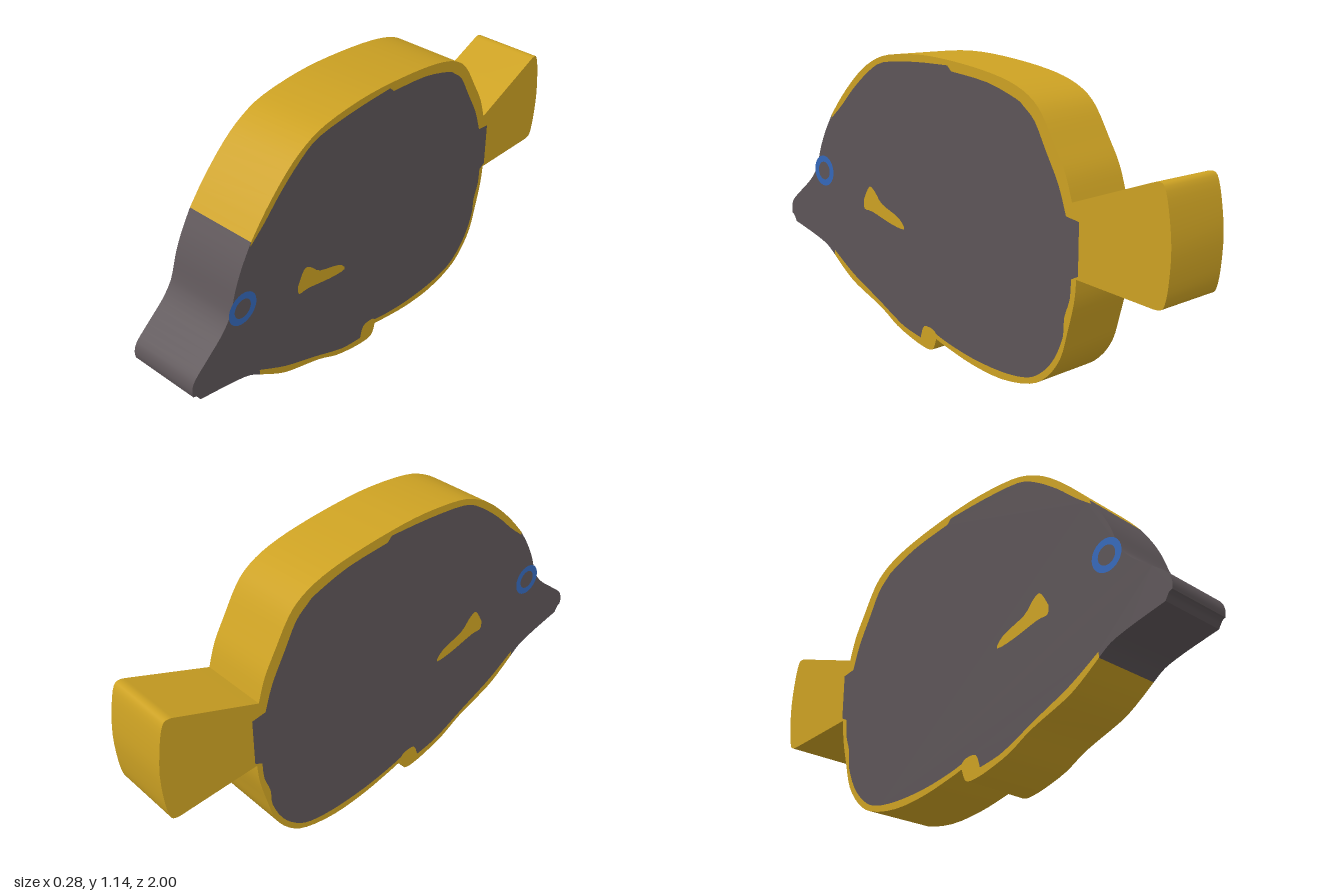
import * as THREE from 'three';
import { toCreasedNormals } from 'three/addons/utils/BufferGeometryUtils.js';

const HALF = 0.14; // half the thickness of the slab-like body

const mat = (name, color, side = THREE.FrontSide) =>
  Object.assign(new THREE.MeshStandardMaterial({ color, side }), { name });

// Smooth a run of [z, y] points; corners stay sharp where runs meet.
function run(...pts) {
  const v = pts.map(([z, y]) => new THREE.Vector2(z, y));
  return v.length < 3 ? v : new THREE.SplineCurve(v).getPoints((v.length - 1) * 3);
}
function join(...runs) {
  const out = [];
  for (const r of runs) for (const p of r) {
    if (!out.length || out[out.length - 1].distanceTo(p) > 1e-4) out.push(p);
  }
  return out;
}

// Flat face on one flank; sign +1 is the model's left.
function flank(points, sign, x = HALF, hole = null) {
  const flip = (list) => list.map((p) => new THREE.Vector2(-sign * p.x, p.y));
  const shape = new THREE.Shape(flip(points));
  if (hole) shape.holes.push(new THREE.Path(flip(hole)));
  return new THREE.ShapeGeometry(shape).rotateY(sign * Math.PI / 2).translate(sign * x, 0, 0);
}

// Rim across the thickness, following the outline.
function rim(points) {
  const pos = [], idx = [];
  points.forEach((p, i) => {
    pos.push(HALF, p.y, p.x, -HALF, p.y, p.x);
    if (i) {
      const a = 2 * i - 2;
      idx.push(a, a + 2, a + 1, a + 1, a + 2, a + 3);
    }
  });
  const g = new THREE.BufferGeometry();
  g.setAttribute('position', new THREE.Float32BufferAttribute(pos, 3));
  g.setIndex(idx);
  return toCreasedNormals(g, 0.7);
}

function circle(z, y, r) {
  return new THREE.EllipseCurve(z, y, r, r).getPoints(28).slice(0, -1);
}

export function createModel() {
  const model = new THREE.Group();
  model.name = 'fish';
  const grey = mat('body grey', 0x5d5558);
  const yellow = mat('fin yellow', 0xcda223);
  const blue = mat('eye blue', 0x3468ba);
  const add = (name, geometry, material) => {
    const mesh = new THREE.Mesh(geometry, material);
    mesh.name = name;
    model.add(mesh);
  };

  // Snout outline, from the throat round to the forehead
  const snout = join(
    run([0.7, 0.28], [0.75, 0.315], [0.82, 0.34], [0.9, 0.362], [0.97, 0.38]),
    run([0.97, 0.38], [0.985, 0.405], [0.998, 0.412]),
    run([0.998, 0.412], [1, 0.44], [0.985, 0.475], [0.93, 0.52], [0.86, 0.575], [0.82, 0.62],
      [0.8, 0.66], [0.775, 0.73], [0.74, 0.8], [0.695, 0.87]));

  // Finned outline, from the forehead over the back, tail and belly to the throat
  const back = run([0.695, 0.87], [0.62, 0.955], [0.52, 1.045], [0.43, 1.1], [0.33, 1.13], [0.16, 1.14],
    [0, 1.13], [-0.18, 1.105], [-0.31, 1.075], [-0.4, 1.035], [-0.46, 0.98], [-0.52, 0.88],
    [-0.57, 0.79], [-0.6, 0.7]);
  const tail = join(
    run([-0.6, 0.7], [-0.92, 0.811]),
    run([-0.92, 0.811], [-0.945, 0.817], [-0.967, 0.805], [-0.985, 0.74], [-1, 0.62], [-0.995, 0.5],
      [-0.982, 0.432], [-0.965, 0.415], [-0.94, 0.413]),
    run([-0.94, 0.413], [-0.625, 0.443]));
  const belly = join(
    run([-0.625, 0.443], [-0.617, 0.36], [-0.59, 0.25], [-0.56, 0.15], [-0.5, 0.07], [-0.42, 0.022],
      [-0.28, 0.001], [-0.13, 0.015], [0, 0.045], [0.07, 0.065]),
    run([0.07, 0.065], [0.085, 0.025], [0.105, 0.014], [0.14, 0.016], [0.2, 0.03], [0.3, 0.065],
      [0.4, 0.12], [0.55, 0.18], [0.62, 0.22], [0.7, 0.28]));
  const finned = join(back, tail, belly);

  // Inner edge of the yellow border
  const inner = join(
    run([0.695, 0.87], [0.7, 0.853]),
    run([0.7, 0.853], [0.63, 0.91], [0.55, 0.985], [0.45, 1.06], [0.36, 1.1], [0.18, 1.112], [0, 1.11]),
    run([0, 1.11], [-0.02, 1.09]),
    run([-0.02, 1.09], [-0.2, 1.065], [-0.34, 1.02], [-0.38, 0.995], [-0.43, 0.95], [-0.48, 0.86],
      [-0.54, 0.75], [-0.575, 0.65]),
    run([-0.575, 0.65], [-0.632, 0.64]),
    run([-0.632, 0.64], [-0.632, 0.455]),
    run([-0.632, 0.455], [-0.602, 0.44]),
    run([-0.602, 0.44], [-0.598, 0.37], [-0.575, 0.3], [-0.57, 0.23], [-0.53, 0.14], [-0.47, 0.075],
      [-0.4, 0.04], [-0.28, 0.029], [-0.13, 0.04], [0, 0.065], [0.07, 0.085]),
    run([0.07, 0.085], [0.09, 0.1], [0.14, 0.1], [0.16, 0.05]),
    run([0.16, 0.05], [0.25, 0.07], [0.32, 0.1], [0.42, 0.15], [0.55, 0.21], [0.62, 0.25], [0.7, 0.302]),
    run([0.7, 0.302], [0.7, 0.28]));

  const pectoral = [[0.495, 0.545], [0.49, 0.51], [0.44, 0.505], [0.33, 0.475], [0.25, 0.465],
    [0.28, 0.505], [0.38, 0.545], [0.42, 0.585], [0.45, 0.605], [0.47, 0.59]];

  // Rims
  add('snoutRim', rim(snout), grey);
  add('finRim', rim(finned), yellow);

  // Flanks with border, pectoral fin and eye ring on both sides
  const bodyFace = join(snout, inner).slice(0, -1);
  const border = join(finned, [...inner].reverse()).slice(0, -1);
  for (const [side, sign] of [['left', 1], ['right', -1]]) {
    add(side + 'Flank', flank(bodyFace, sign), grey);
    add(side + 'FinBorder', flank(border, sign), yellow);
    add(side + 'PectoralFin', flank(run(...pectoral, pectoral[0]).slice(0, -1), sign, HALF + 0.002), yellow);
    add(side + 'EyeRing', flank(circle(0.755, 0.63, 0.063), sign, HALF + 0.002, circle(0.755, 0.63, 0.037)), blue);
  }
  return model;
}
